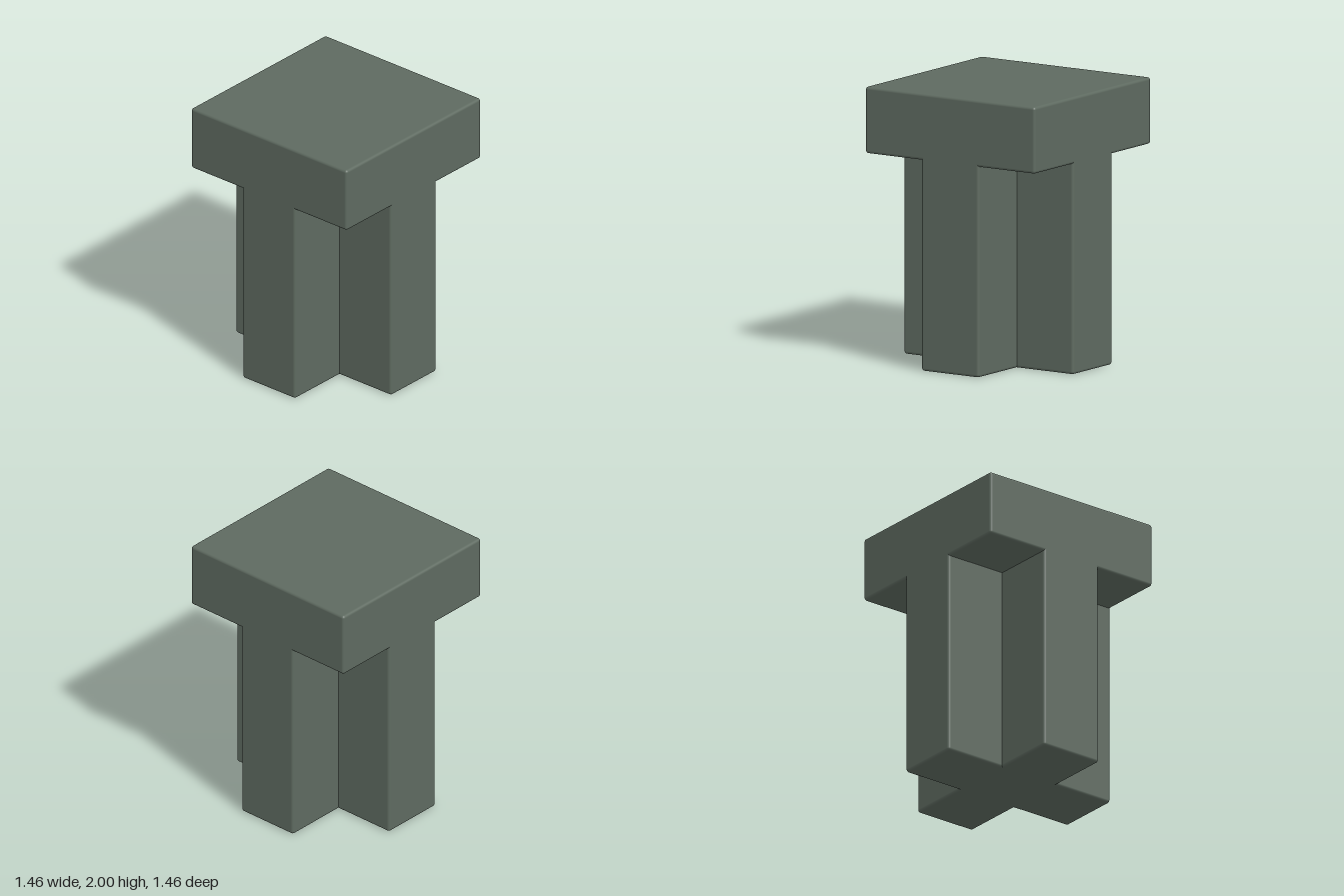
import * as THREE from 'three';
import { RoundedBoxGeometry } from 'three/addons/geometries/RoundedBoxGeometry.js';

export function createModel() {
  const group = new THREE.Group();
  const stone = new THREE.MeshStandardMaterial({ color: 0x5e6a60 });
  stone.name = 'greyGreenStone';

  const half = 0.73;      // half width of slab and cross
  const arm = 0.247;      // half thickness of each arm
  const underside = 1.52; // bottom of the slab
  const radius = 0.02;    // softened edges

  // Softly rounded block between two corners
  function block(name, [x0, y0, z0], [x1, y1, z1]) {
    const geometry = new RoundedBoxGeometry(x1 - x0, y1 - y0, z1 - z0, 3, radius);
    const mesh = new THREE.Mesh(geometry, stone);
    mesh.name = name;
    mesh.position.set((x0 + x1) / 2, (y0 + y1) / 2, (z0 + z1) / 2);
    group.add(mesh);
  }

  // Square slab on top
  block('topSlab', [-half, underside, -half], [half, 2, half]);

  // Cross-shaped post, flush with the slab sides and set slightly into it
  const postTop = underside + 0.05;
  const inner = arm - 0.03;
  block('crossPost', [-half, 0.005, -arm], [half, postTop, arm]);
  block('frontArm', [-arm, 0.005, inner], [arm, postTop, half]);
  block('backArm', [-arm, 0.005, -half], [arm, postTop, -inner]);

  // Settle the post on the ground
  for (const mesh of group.children) {
    if (mesh.name !== 'topSlab') mesh.position.y -= 0.005;
  }
  return group;
}
